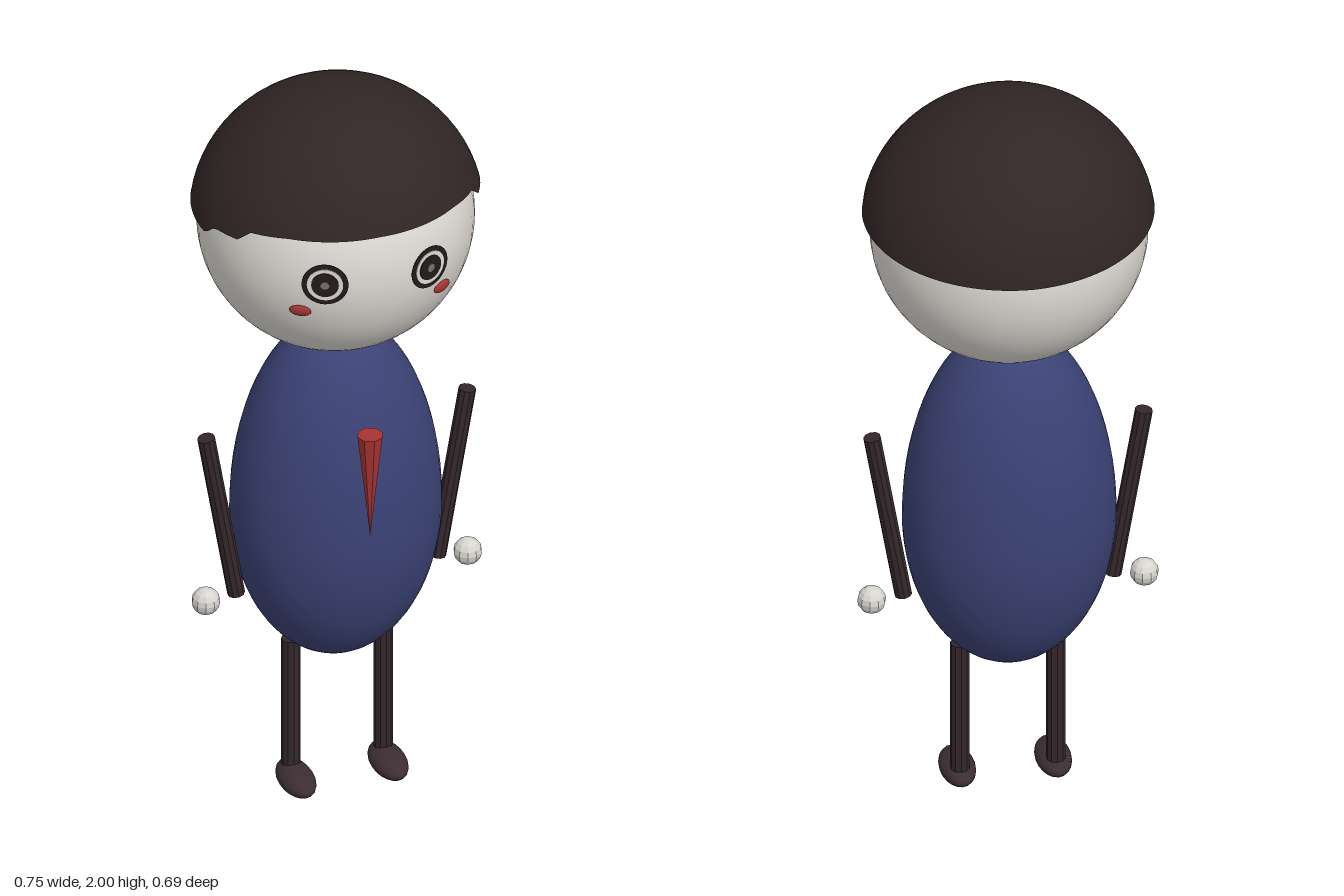
import * as THREE from 'three';

const mat = (name, color, extra = {}) => {
  const m = new THREE.MeshStandardMaterial({ color, ...extra });
  m.name = name;
  return m;
};

export function createModel() {
  const root = new THREE.Group();
  const skin = mat('paleSkin', 0xdedad4);
  const handSkin = mat('paleHand', 0xd8d5d0, { flatShading: true });
  const hairMat = mat('darkHair', 0x312525, { side: THREE.DoubleSide });
  const blue = mat('blueSuit', 0x3b4275);
  const limb = mat('darkLimb', 0x34272c, { flatShading: true });
  const shoe = mat('darkShoe', 0x3c2d33);
  const red = mat('redTie', 0xa83333, { flatShading: true });
  const black = mat('eyeBlack', 0x211a1a);
  const grey = mat('eyeGlint', 0x77706e);
  const blush = mat('cheekRed', 0xa33434);

  const add = (name, geo, material, x = 0, y = 0, z = 0, parent = root) => {
    const m = new THREE.Mesh(geo, material);
    m.name = name;
    m.position.set(x, y, z);
    parent.add(m);
    return m;
  };

  // Head
  add('head', new THREE.SphereGeometry(1, 48, 32), skin, -0.002, 1.648, 0.005).scale.set(0.344, 0.342, 0.335);

  // Hair: a dome whose lower edge follows a stepped hairline (degrees from front, height)
  const hairline = [[0, 1.785], [40, 1.78], [57, 1.768], [63, 1.738], [77, 1.73], [83, 1.697], [180, 1.69]];
  const rimHeight = (deg) => {
    for (let i = 1; i < hairline.length; i++) {
      const [a0, h0] = hairline[i - 1], [a1, h1] = hairline[i];
      if (deg <= a1) return THREE.MathUtils.lerp(h0, h1, (deg - a0) / (a1 - a0));
    }
    return 1.69;
  };
  const hairGeo = new THREE.SphereGeometry(1, 120, 20, 0, Math.PI * 2, 0, Math.PI / 2);
  const p = hairGeo.attributes.position, uv = hairGeo.attributes.uv;
  for (let i = 0; i < p.count; i++) {
    const a = uv.getX(i) * Math.PI * 2;
    const t = Math.round((1 - uv.getY(i)) * 20) / 20;
    const deg = THREE.MathUtils.radToDeg(Math.acos(THREE.MathUtils.clamp(Math.cos(a), -1, 1)));
    const th = t * Math.acos((rimHeight(deg) - 1.65) / 0.35);
    p.setXYZ(i, 0.364 * Math.sin(th) * Math.sin(a), 0.35 * Math.cos(th), 0.358 * Math.sin(th) * Math.cos(a));
    // Dome normals stay smooth across the stepped edge
    const n = new THREE.Vector3(p.getX(i) / 0.1325, p.getY(i) / 0.1225, p.getZ(i) / 0.1282).normalize();
    hairGeo.attributes.normal.setXYZ(i, n.x, n.y, n.z);
  }
  // This angle direction runs opposite to the sphere's own, so turn the faces if needed
  const idx = hairGeo.index, v = [0, 1, 2].map((k) => new THREE.Vector3().fromBufferAttribute(p, idx.getX(600 + k)));
  const face = v[1].clone().sub(v[0]).cross(v[2].clone().sub(v[0]));
  if (face.dot(v[0]) < 0) {
    for (let i = 0; i < idx.count; i += 3) {
      const b = idx.getX(i + 1);
      idx.setX(i + 1, idx.getX(i + 2));
      idx.setX(i + 2, b);
    }
  }
  add('hair', hairGeo, hairMat, 0, 1.65, 0.008);

  // Egg-shaped body, longer above its widest point
  const egg = [];
  for (let i = 0; i <= 36; i++) {
    const a = -Math.PI / 2 + (Math.PI * i) / 36;
    egg.push(new THREE.Vector2(Math.max(0, Math.cos(a)), Math.sin(a) * (a < 0 ? 0.42 : 0.54)));
  }
  add('body', new THREE.LatheGeometry(egg, 48), blue, -0.003, 0.8, 0.008).scale.set(0.265, 1, 0.236);

  // Tie
  const tie = add('tie', new THREE.ConeGeometry(0.033, 0.3, 8), red, -0.002, 1.006, 0.264);
  tie.rotation.x = Math.PI;

  // Limbs, in mirrored pairs
  for (const [side, s] of [['left', 1], ['right', -1]]) {
    const arm = add(side + 'Arm', new THREE.CylinderGeometry(0.022, 0.022, 0.48, 10), limb, s * 0.301, 0.823, 0.008);
    arm.rotation.z = -s * 0.164;
    add(side + 'Hand', new THREE.SphereGeometry(0.036, 10, 8), handSkin, s * 0.341, 0.58, 0.008);
    add(side + 'Leg', new THREE.CylinderGeometry(0.024, 0.024, 0.385, 10), limb, s * 0.12, 0.232, 0.01);
    add(side + 'Foot', new THREE.SphereGeometry(1, 20, 14), shoe, s * 0.12, 0.034, 0.047).scale.set(0.045, 0.03, 0.085);
  }

  // Eyes: stacked thin discs facing out from the head
  const disc = (r) => new THREE.CylinderGeometry(r, r, 0.002, 32).rotateX(Math.PI / 2);
  for (const [side, x, y, s] of [['left', 0.133, 1.657, 1], ['right', -0.139, 1.664, -1]]) {
    const eye = new THREE.Group();
    eye.name = side + 'Eye';
    eye.position.set(x, y, 0.32);
    eye.rotation.y = s * 0.39;
    root.add(eye);
    add('eyeOutline', disc(0.058), black, 0, 0, 0, eye);
    add('eyeWhite', disc(0.045), skin, 0, 0, 0.002, eye);
    add('pupil', disc(0.034), black, 0, 0, 0.004, eye);
    add('glint', disc(0.011), grey, 0, 0, 0.006, eye);
  }

  // Cheeks
  for (const [side, x, y, s] of [['left', 0.178, 1.567, 1], ['right', -0.191, 1.575, -1]]) {
    const cheek = add(side + 'Cheek', new THREE.SphereGeometry(1, 20, 12), blush, x, y, 0.283);
    cheek.scale.set(0.028, 0.016, 0.009);
    cheek.rotation.set(0.2, s * 0.55, 0, 'YXZ');
  }
  return root;
}
